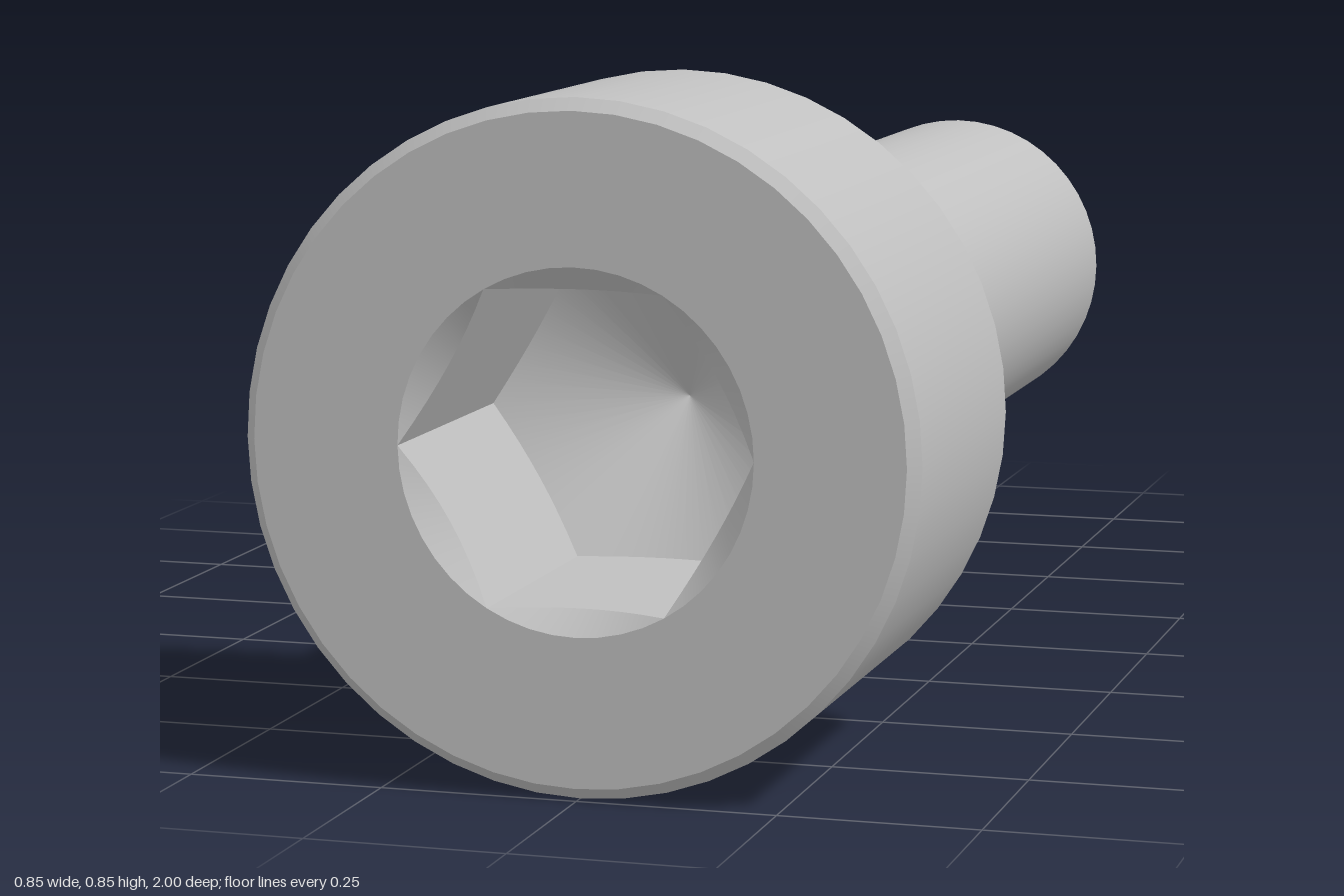
import * as THREE from 'three';

const SEG = 48;              // sides around the axis (multiple of 6)
const APOTHEM = 0.193;       // socket half width across flats
const RIM = APOTHEM / Math.cos(Math.PI / 6);
const FLOOR_Z = 0.66;

// Radius of the hexagon at an angle, corners on the x axis
function hexRadius(t) {
  const side = Math.PI / 3;
  const local = ((t % side) + side) % side - side / 2;
  return APOTHEM / Math.cos(local);
}

// Strip of quads between two loops, given as functions angle -> [radius, z]
function band(outer, inner, from, to, steps, closed) {
  const pos = [], index = [];
  const cols = closed ? steps : steps + 1;
  for (let i = 0; i < cols; i++) {
    const t = from + (to - from) * i / steps;
    for (const [r, z] of [outer(t), inner(t)]) pos.push(r * Math.cos(t), r * Math.sin(t), z);
  }
  for (let i = 0; i < steps; i++) {
    const a = 2 * i, b = 2 * ((i + 1) % cols);
    index.push(a, b, b + 1, a, b + 1, a + 1);
  }
  const geo = new THREE.BufferGeometry();
  geo.setAttribute('position', new THREE.Float32BufferAttribute(pos, 3));
  geo.setIndex(index);
  geo.computeVertexNormals();
  return geo;
}

export function createModel() {
  const model = new THREE.Group();
  model.name = 'socketHeadScrew';
  const steel = new THREE.MeshStandardMaterial({ color: 0xc0c0c0 });
  steel.name = 'steelGrey';

  const add = (parent, name, geo) => {
    const mesh = new THREE.Mesh(geo, steel);
    mesh.name = name;
    parent.add(mesh);
  };
  const group = (name) => {
    const g = new THREE.Group();
    g.name = name;
    g.position.y = 0.423;
    model.add(g);
    return g;
  };
  // One turned surface per profile segment keeps the edges between them sharp
  const turn = (parent, names, profile) => names.forEach((name, i) => {
    const pts = [profile[i], profile[i + 1]].map(([r, z]) => new THREE.Vector2(r, z));
    add(parent, name, new THREE.LatheGeometry(pts, SEG).rotateX(Math.PI / 2));
  });

  // Shank with chamfered tip
  turn(group('shank'), ['tipFace', 'tipChamfer', 'shankSide'],
    [[0, -1], [0.17, -1], [0.229, -0.942], [0.229, 0.54]]);

  // Head with chamfered edges
  turn(group('head'), ['headUnderside', 'backChamfer', 'headSide', 'frontChamfer', 'headFace'],
    [[0.229, 0.538], [0.408, 0.538], [0.423, 0.553], [0.423, 0.985], [0.408, 1], [RIM, 1]]);

  // Hexagonal socket: countersunk rim, six flat walls, conical floor
  const socket = group('socket');
  const rim = () => [RIM, 1];
  const wallTop = (t) => [hexRadius(t), 1 - (RIM - hexRadius(t))];
  const wallBottom = (t) => [hexRadius(t), FLOOR_Z - (RIM - hexRadius(t)) * 0.577];
  const apex = () => [0, FLOOR_Z - RIM * 0.577];
  add(socket, 'socketCountersink', band(rim, wallTop, 0, Math.PI * 2, SEG, true));
  for (let i = 0; i < 6; i++) {
    const start = i * Math.PI / 3;
    add(socket, 'socketWall', band(wallTop, wallBottom, start, start + Math.PI / 3, SEG / 6, false));
  }
  add(socket, 'socketFloor', band(wallBottom, apex, 0, Math.PI * 2, SEG, true));

  return model;
}
